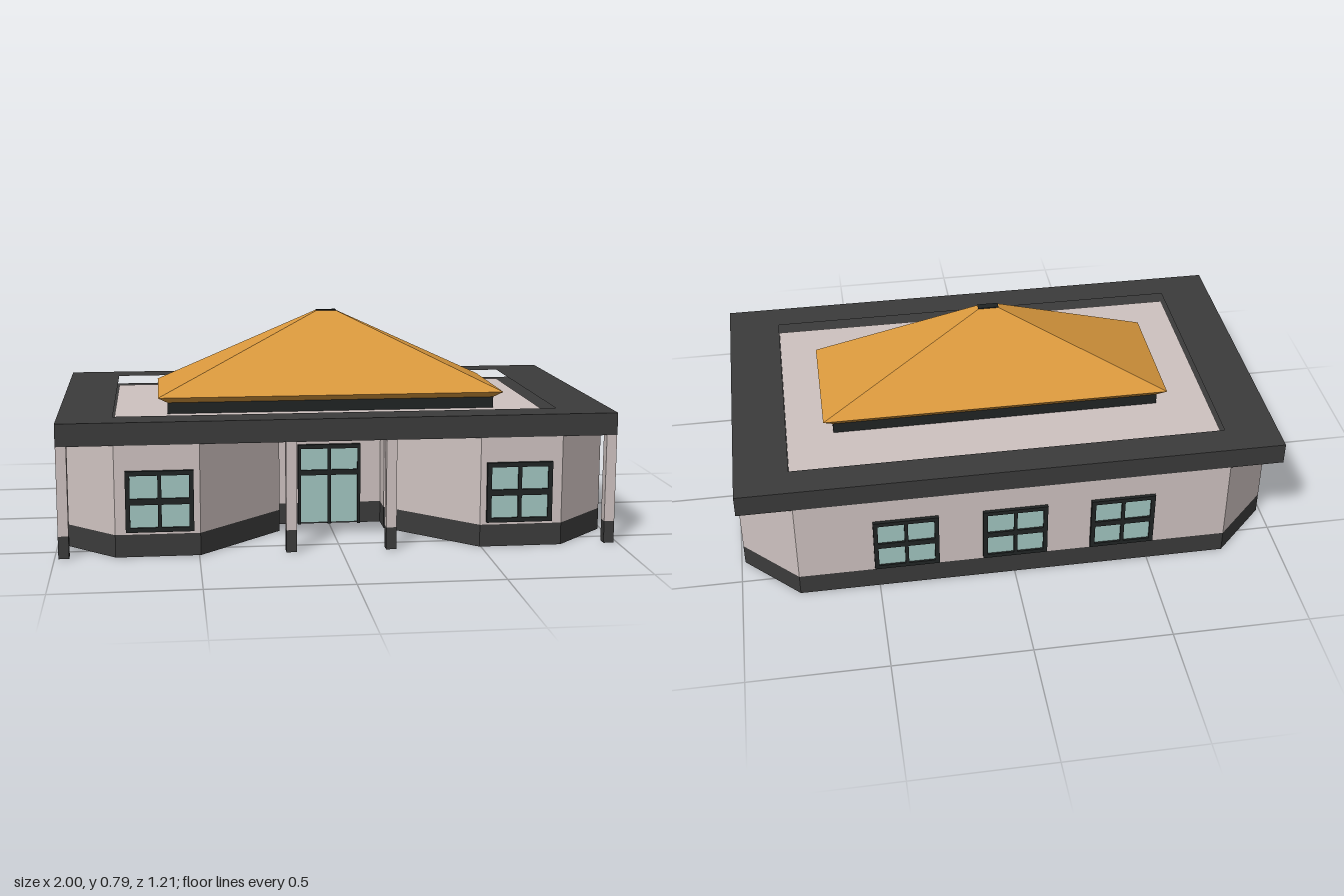
import * as THREE from 'three';

const mat = (color) => new THREE.MeshStandardMaterial({ color });
const WALL = mat(0xcfc3c1), DARK = mat(0x3b3b3b), FRAME = mat(0x202424);
const ORANGE = mat(0xdc9a3e), GLASS = mat(0xa2c6c1);

const HX = 0.987, HZ = 0.592;          // half size of the house plan
const BASE = 0.08, EAVE = 0.395, TOP = 0.475;

function add(parent, name, geometry, material, x = 0, y = 0, z = 0) {
  const mesh = new THREE.Mesh(geometry, material);
  mesh.name = name;
  mesh.position.set(x, y, z);
  parent.add(mesh);
  return mesh;
}

function box(parent, name, material, w, h, d, x, y, z) {
  return add(parent, name, new THREE.BoxGeometry(w, h, d), material, x, y, z);
}

// Upright prism from a plan outline of [x, z] points
function prism(outline, y0, y1, hole) {
  const toPoints = (list) => list.map(([x, z]) => new THREE.Vector2(x, -z));
  const shape = new THREE.Shape(toPoints(outline));
  if (hole) shape.holes.push(new THREE.Path(toPoints(hole)));
  const g = new THREE.ExtrudeGeometry(shape, { depth: y1 - y0, bevelEnabled: false });
  return g.rotateX(-Math.PI / 2).translate(0, y0, 0);
}

const rect = (hx, hz) => [[-hx, -hz], [hx, -hz], [hx, hz], [-hx, hz]];

// Box tapering from one rectangle to another
function frustum(bottom, top, y0, y1) {
  const g = new THREE.BoxGeometry(2, 1, 2);
  const p = g.attributes.position;
  for (let i = 0; i < p.count; i++) {
    const up = p.getY(i) > 0;
    const [hx, hz] = up ? top : bottom;
    p.setXYZ(i, p.getX(i) * hx, up ? y1 : y0, p.getZ(i) * hz);
  }
  g.computeVertexNormals();
  return g;
}

// Framed window on a wall facing +z of its own group; local z = 0 is the wall face
function makeWindow(name, x, z, turn) {
  const g = new THREE.Group();
  g.name = name;
  const w = 0.236, y0 = 0.09, y1 = 0.306, b = 0.016, d = 0.013;
  const h = y1 - y0, mid = (y0 + y1) / 2;
  box(g, 'windowGlass', GLASS, w - b, h - b, 0.006, 0, mid, 0.003);
  for (const s of [-1, 1]) {
    box(g, 'windowStile', FRAME, b, h, d, s * (w - b) / 2, mid, d / 2);
    box(g, 'windowRail', FRAME, w, b, d, 0, mid + s * (h - b) / 2, d / 2);
  }
  box(g, 'windowMullion', FRAME, 0.013, h, d, 0, mid, d / 2);
  box(g, 'windowTransom', FRAME, w, 0.022, d, 0, mid, d / 2);
  g.position.set(x, 0, z);
  g.rotation.y = turn;
  return g;
}

// Double door with a light above
function makeDoor(z) {
  const g = new THREE.Group();
  g.name = 'door';
  const w = 0.236, h = 0.306, d = 0.013;
  box(g, 'doorGlass', GLASS, w - 0.01, h - 0.01, 0.006, 0, h / 2, 0.003);
  for (const s of [-1, 1]) {
    box(g, 'doorStile', FRAME, 0.011, h, d, s * (w - 0.011) / 2, h / 2, d / 2);
  }
  box(g, 'doorMullion', FRAME, 0.013, h, d, 0, h / 2, d / 2);
  box(g, 'doorTransom', FRAME, w, 0.02, d, 0, 0.199, d / 2);
  box(g, 'doorHead', FRAME, w, 0.016, d, 0, h - 0.008, d / 2);
  g.position.z = z;
  return g;
}

export function createModel() {
  const house = new THREE.Group();
  house.name = 'house';

  // Plan with cut corners and a splayed entrance recess, mirrored about x = 0
  const half = [[0.195, 0.197], [0.195, 0.292], [0.495, HZ], [0.79, HZ],
    [HX, 0.395], [HX, -0.395], [0.79, -HZ]];
  const plan = [...half, ...half.map(([x, z]) => [-x, z]).reverse()];
  add(house, 'plinth', prism(plan, 0, BASE), DARK);
  add(house, 'walls', prism(plan, BASE, EAVE), WALL);

  // Porch pillars along the front
  for (const x of [-0.968, -0.177, 0.177, 0.968]) {
    const z = HZ - 0.019;
    box(house, 'pillarFoot', DARK, 0.037, BASE, 0.037, x, BASE / 2, z);
    box(house, 'pillar', WALL, 0.037, EAVE - BASE, 0.037, x, (BASE + EAVE) / 2, z);
  }

  // Flat roof: slab, raised rim and sunken deck
  const rim = rect(0.793, 0.473);
  add(house, 'roofSlab', prism(rect(HX, HZ), EAVE, 0.425), DARK);
  add(house, 'roofRim', prism(rect(HX, HZ), 0.425, TOP, rim), DARK);
  add(house, 'roofDeck', prism(rim, 0.425, 0.437), WALL);

  // Hipped roof on a dark curb
  const hip = new THREE.Group();
  hip.name = 'hippedRoof';
  hip.position.x = 0.01;
  add(hip, 'curb', frustum([0.61, 0.223], [0.61, 0.223], 0.437, 0.48), FRAME);
  add(hip, 'eaves', frustum([0.61, 0.223], [0.645, 0.239], 0.478, 0.498), ORANGE);
  add(hip, 'slopes', frustum([0.645, 0.239], [0.038, 0.014], 0.498, 0.789), ORANGE);
  add(hip, 'ridgeCap', frustum([0.038, 0.014], [0.038, 0.014], 0.788, 0.792), FRAME);
  house.add(hip);

  // Openings
  house.add(makeDoor(0.197));
  for (const s of [-1, 1]) {
    house.add(makeWindow('frontWindow', s * 0.635, HZ, 0));
    house.add(makeWindow('sideWindow', s * HX, 0, s * Math.PI / 2));
  }
  for (const x of [-0.397, 0, 0.397]) {
    house.add(makeWindow('backWindow', x, -HZ, Math.PI));
  }
  return house;
}
